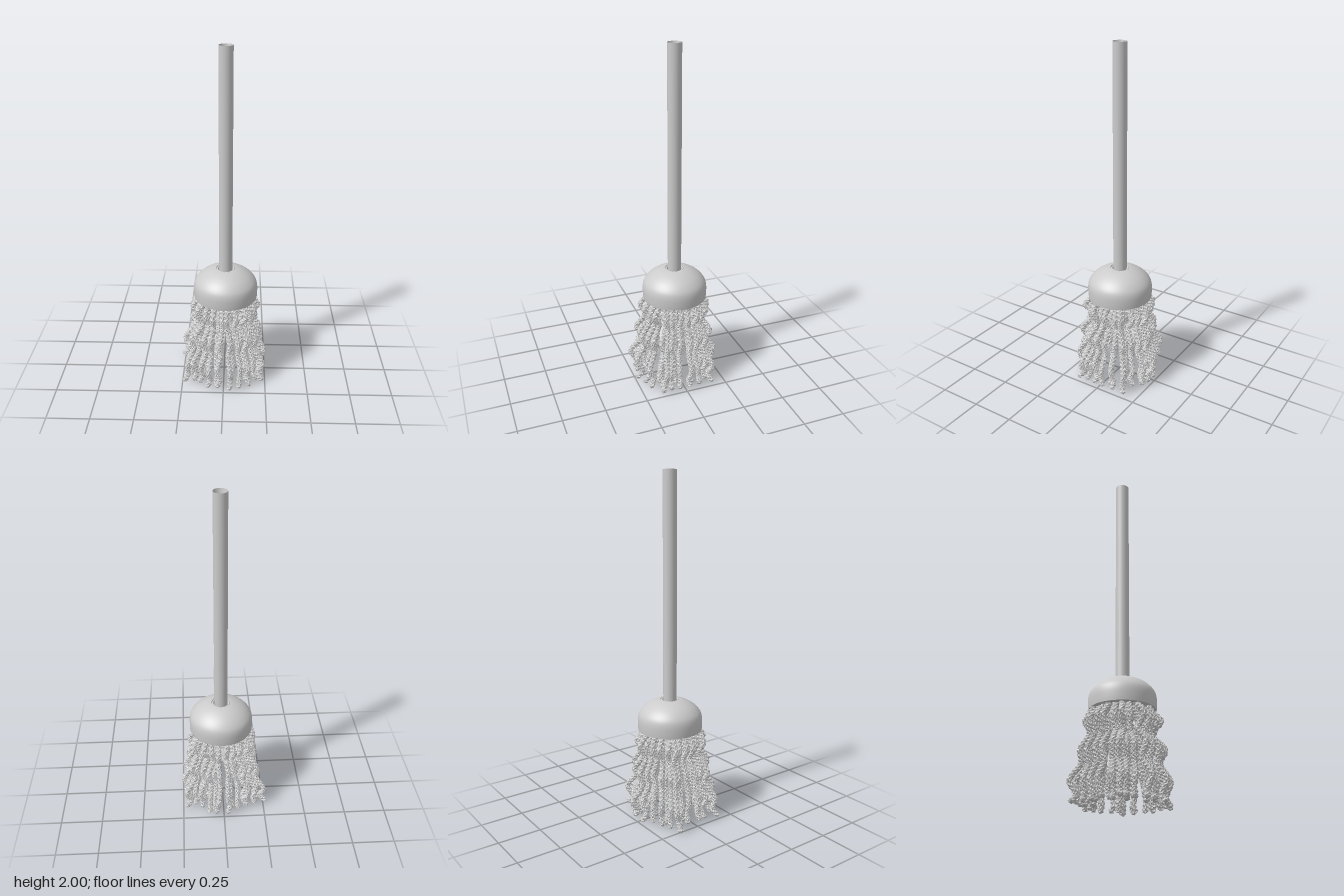
import * as THREE from 'three';
import { mergeGeometries } from 'three/addons/utils/BufferGeometryUtils.js';

// Small seeded generator, returns -1..1
function makeRandom(seed) {
  let s = seed;
  return () => {
    s = (s * 16807) % 2147483647;
    return (s / 2147483647) * 2 - 1;
  };
}

// Three-ply twisted cord along a curve, tapered shut at both ends
function twistedCord(curve, radius, twists) {
  const steps = 140, sides = 9;
  const geo = new THREE.TubeGeometry(curve, steps, radius, sides, false);
  const pos = geo.attributes.position;
  const p = new THREE.Vector3();
  for (let i = 0; i <= steps; i++) {
    const t = i / steps;
    const centre = curve.getPointAt(t);
    const taper = Math.min(1, i / 2, (steps - i) / 2);
    for (let j = 0; j <= sides; j++) {
      const k = i * (sides + 1) + j;
      const a = (j / sides) * Math.PI * 2;
      const lobe = 0.92 + 0.24 * Math.cos(3 * a - t * twists * Math.PI * 2);
      p.fromBufferAttribute(pos, k).sub(centre).multiplyScalar(lobe * taper).add(centre);
      pos.setXYZ(k, p.x, p.y, p.z);
    }
  }
  geo.computeVertexNormals();
  return geo;
}

export function createModel() {
  const mop = new THREE.Group();
  mop.name = 'mop';
  const smooth = new THREE.MeshStandardMaterial({ color: 0xcccccc, side: THREE.DoubleSide });
  const faceted = new THREE.MeshStandardMaterial({ color: 0xcccccc, flatShading: true });
  const add = (name, geo, mat, x, y, z) => {
    const mesh = new THREE.Mesh(geo, mat);
    mesh.name = name;
    mesh.position.set(x, y, z);
    mop.add(mesh);
  };
  // The head and handle sit slightly off the centre of the splayed strands
  const cx = 0.008, cz = -0.009;

  // Handle with a deep conical hollow in its top end
  add('handle', new THREE.CylinderGeometry(0.039, 0.039, 1.4, 32, 1, true), smooth, cx, 1.3, cz);
  add('handleHollow', new THREE.ConeGeometry(0.039, 0.2, 32, 1, true).rotateX(Math.PI), smooth, cx, 1.9, cz);

  // Domed head with a socket for the handle
  const dome = new THREE.SplineCurve([
    [0.186, 0.53], [0.188, 0.56], [0.187, 0.6], [0.177, 0.633],
    [0.15, 0.665], [0.115, 0.689], [0.08, 0.704], [0.055, 0.71],
  ].map(([r, y]) => new THREE.Vector2(r, y))).getPoints(28);
  add('head', new THREE.LatheGeometry(dome, 64), smooth, cx, 0, cz);
  add('socket', new THREE.CylinderGeometry(0.055, 0.045, 0.03, 48, 1, true), smooth, cx, 0.695, cz);
  add('headUnderside', new THREE.CylinderGeometry(0.184, 0.184, 0.006, 64), smooth, cx, 0.534, cz);

  // Beaded collar where the handle meets the head
  const beads = [];
  for (let i = 0; i < 40; i++) {
    const a = (i / 40) * Math.PI * 2;
    beads.push(new THREE.SphereGeometry(0.0055, 8, 6)
      .translate(Math.cos(a) * 0.048, 0, Math.sin(a) * 0.048));
  }
  add('collar', mergeGeometries(beads), smooth, cx, 0.704, cz);

  // Wavy strands: radius from the axis and height, top to bottom
  const wave = [
    [0.12, 0.55], [0.155, 0.515], [0.19, 0.46], [0.158, 0.385], [0.207, 0.3],
    [0.19, 0.225], [0.236, 0.13], [0.216, 0.06], [0.236, 0.01],
  ];
  const random = makeRandom(4711);
  const strands = [];
  const strand = (angle, scale, splay) => {
    const spread = 1 + random() * 0.06;
    const lean = random() * 0.1;
    const lift = random() * 0.015;
    const points = wave.map(([r, y], j) => {
      const t = j / (wave.length - 1);
      const radius = r * spread * (scale + (splay - scale) * t) + random() * 0.01;
      const a = angle + lean * (t - 0.5) + random() * 0.05;
      const height = t < 1 ? y + lift * Math.sin(t * Math.PI) : y + Math.abs(random()) * 0.012;
      // The centre drifts from under the head to the middle of the splay
      return new THREE.Vector3(
        cx * (1 - t) + Math.cos(a) * radius, height, cz * (1 - t) + Math.sin(a) * radius);
    });
    strands.push(twistedCord(new THREE.CatmullRomCurve3(points), 0.0155, 26));
  };
  const ring = (count, scale, splay) => {
    for (let i = 0; i < count; i++) strand(((i + 0.5) / count) * Math.PI * 2, scale, splay);
  };
  ring(24, 1, 1);
  ring(12, 0.72, 0.82);
  ring(4, 0.35, 0.68);
  // Four stray strands that flick outward
  for (const degrees of [31, 147, 209, 325]) strand(THREE.MathUtils.degToRad(degrees), 1.02, 1.2);
  add('strands', mergeGeometries(strands), faceted, 0, 0, 0);
  return mop;
}
